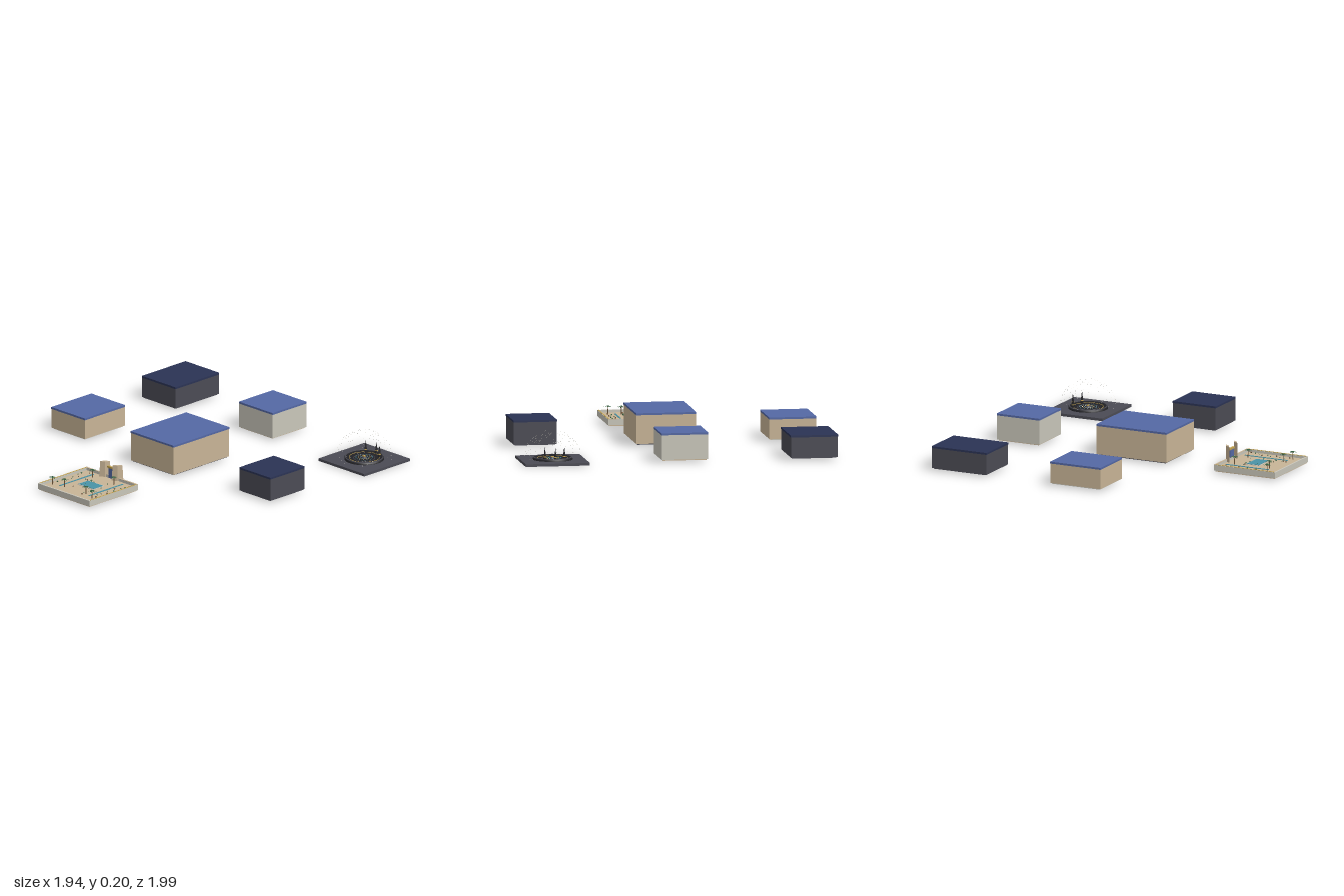
import * as THREE from 'three';

const mat = (name, color, side = THREE.FrontSide) => {
  const m = new THREE.MeshStandardMaterial({ color, side });
  m.name = name;
  return m;
};
const M = {
  blue: mat('blue roof', 0x5468a4), navy: mat('navy roof', 0x2b3354),
  tan: mat('sandstone', 0xc8b496), stone: mat('pale stone', 0xc9c6ba),
  charcoal: mat('charcoal', 0x4b4b54), black: mat('near black', 0x222226),
  gold: mat('gold', 0xc2a250), teal: mat('water teal', 0x4a93a6),
  green: mat('palm green', 0x3a6a48, THREE.DoubleSide), brown: mat('bark brown', 0x6b5238),
};

function add(parent, name, geo, material, x = 0, y = 0, z = 0) {
  const m = new THREE.Mesh(geo, material);
  m.name = name;
  m.position.set(x, y, z);
  parent.add(m);
  return m;
}
// Box given by its extents
function box(parent, name, material, x0, x1, y0, y1, z0, z1) {
  return add(parent, name, new THREE.BoxGeometry(x1 - x0, y1 - y0, z1 - z0), material,
    (x0 + x1) / 2, (y0 + y1) / 2, (z0 + z1) / 2);
}
function group(parent, name, x = 0, y = 0, z = 0) {
  const g = new THREE.Group();
  g.name = name;
  g.position.set(x, y, z);
  parent.add(g);
  return g;
}
function seeded(s) {
  return () => (s = (s * 16807) % 2147483647) / 2147483647;
}

// Plain hall: floor slab, walls and a thin roof
function hall(parent, name, x0, x1, z0, z1, top, wall, roof, floor) {
  const g = group(parent, name);
  box(g, 'floor', floor, x0 + 0.008, x1 - 0.008, 0.01, 0.02, z0 + 0.008, z1 - 0.008);
  box(g, 'walls', wall, x0, x1, 0.016, top - 0.012, z0, z1);
  box(g, 'roof', roof, x0 - 0.001, x1 + 0.001, top - 0.012, top, z0 - 0.001, z1 + 0.001);
}

function palm(parent, x, y, z) {
  const g = group(parent, 'palm', x, y, z);
  add(g, 'trunk', new THREE.CylinderGeometry(0.002, 0.0035, 0.05, 6), M.brown, 0, 0.025, 0);
  const frond = new THREE.ConeGeometry(0.005, 0.03, 4);
  frond.scale(1, 1, 0.25).rotateX(Math.PI / 2 + 0.3).translate(0, -0.003, 0.014);
  for (let i = 0; i < 9; i++) {
    add(g, 'frond', frond, M.green, 0, 0.051, 0).rotation.y = i * Math.PI * 2 / 9;
  }
}

function garden(parent) {
  const g = group(parent, 'gardenCourt');
  const x0 = -0.25, x1 = 0.195, z0 = 0.575, z1 = 0.993, f = 0.036, w = 0.011, t = 0.052;
  box(g, 'base', M.tan, x0 + 0.006, x1 - 0.006, 0.01, 0.018, z0 + 0.006, z1 - 0.006);
  box(g, 'ground', M.tan, x0 + 0.004, x1 - 0.004, 0.016, f, z0 + 0.004, z1 - 0.004);
  // Perimeter walls with coping on the sides and back
  box(g, 'frontWall', M.stone, x0, x1, 0.016, t, z1 - w, z1);
  box(g, 'backWall', M.stone, x0, x1, 0.016, t, z0, z0 + w);
  box(g, 'backCoping', M.tan, x0, x1, t, t + 0.002, z0, z0 + w);
  for (const x of [x0, x1 - w]) {
    box(g, 'sideWall', M.stone, x, x + w, 0.016, t, z0, z1);
    box(g, 'sideCoping', M.gold, x + 0.002, x + w - 0.002, t, t + 0.002, z0 + w, z1 - w);
  }
  // Pool and side channels
  box(g, 'poolRim', M.stone, -0.098, 0.043, f, f + 0.003, 0.712, 0.808);
  box(g, 'pool', M.teal, -0.092, 0.037, f, f + 0.005, 0.72, 0.80);
  for (const x of [-0.155, 0.098]) {
    box(g, 'channel', M.teal, x - 0.005, x + 0.005, f, f + 0.003, 0.61, 0.90);
  }
  // Slender tapering gate towers, lozenge in plan
  const tower = new THREE.CylinderGeometry(1, 1.2, 0.1, 4).toNonIndexed();
  tower.scale(0.03, 1, 0.0095).rotateY(Math.PI / 4);
  tower.computeVertexNormals();
  for (const x of [-0.082, 0.026]) {
    add(g, 'gateTower', tower, M.tan, x, 0.085, 0.583);
  }
  box(g, 'gateLintel', M.gold, -0.06, 0.004, 0.1, 0.111, 0.574, 0.588);
  box(g, 'gateDoor', M.blue, -0.05, -0.006, f, 0.1, 0.576, 0.586);
  // Palms
  for (const [x, z] of [[0.093, 0.65], [0.093, 0.89], [0.172, 0.915]]) {
    for (const s of [-1, 1]) palm(g, -0.031 + s * x, f, z);
  }
  // Shrubs and urns along the paths
  const rnd = seeded(41);
  const shrub = new THREE.IcosahedronGeometry(0.005, 0);
  for (let i = 0; i < 16; i++) {
    for (const s of [-1, 1]) {
      const x = -0.031 + s * (i < 10 ? 0.15 + rnd() * 0.045 : rnd() * 0.1);
      const z = i < 10 ? 0.62 + i * 0.03 : 0.63 + rnd() * 0.3;
      add(g, 'shrub', shrub, i % 3 ? M.green : M.brown, x, f + 0.005, z)
        .scale.setScalar(0.6 + rnd() * 0.6);
    }
  }
}

function plaza(parent) {
  const g = group(parent, 'starPlaza', 0.767, 0, -0.803);
  box(g, 'slab', M.charcoal, -0.198, 0.198, 0, 0.016, -0.197, 0.197);
  // Stepped round basin
  const profile = [[0.122, 0.015], [0.12, 0.028], [0.108, 0.031], [0.104, 0.024],
    [0.08, 0.024], [0.078, 0.02], [0, 0.02]];
  add(g, 'basin', new THREE.LatheGeometry(profile.map(p => new THREE.Vector2(...p)), 48), M.black);
  const ring = (name, r, tube, m, y) =>
    add(g, name, new THREE.TorusGeometry(r, tube, 6, 48).rotateX(Math.PI / 2), m, 0, y, 0);
  ring('rim', 0.115, 0.004, M.charcoal, 0.029);
  ring('goldRing', 0.093, 0.0015, M.gold, 0.025);
  ring('innerRing', 0.065, 0.002, M.charcoal, 0.02);
  // Beads in circles around the centre
  const bead = new THREE.OctahedronGeometry(0.0035);
  for (const [n, r, m] of [[18, 0.052, M.teal], [14, 0.036, M.gold], [10, 0.024, M.teal]]) {
    for (let i = 0; i < n; i++) {
      const a = i * Math.PI * 2 / n;
      add(g, 'bead', bead, m, r * Math.cos(a), 0.024, r * Math.sin(a));
    }
  }
  add(g, 'centreDais', new THREE.CylinderGeometry(0.014, 0.018, 0.01, 12), M.charcoal, 0, 0.025, 0);
  box(g, 'centreLight', M.gold, -0.008, 0.008, 0.03, 0.034, -0.006, 0.006);
  // Spires at the back of the basin
  for (const [x, z, h] of [[0, -0.104, 0.075], [-0.06, -0.072, 0.08], [0.06, -0.072, 0.08]]) {
    add(g, 'spire', new THREE.ConeGeometry(0.011, h, 5), M.black, x, 0.022 + h / 2, z);
    add(g, 'spireBand', new THREE.CylinderGeometry(0.0085, 0.0095, 0.005, 5), M.gold, x, 0.042, z);
  }
  // Dome of floating specks
  const rnd = seeded(7);
  const speck = new THREE.OctahedronGeometry(0.0018);
  for (let i = 0; i < 170; i++) {
    const e = Math.asin(0.05 + 0.92 * rnd()), a = rnd() * Math.PI * 2, r = 0.175;
    add(g, 'speck', speck, M.stone,
      r * Math.cos(e) * Math.cos(a), 0.02 + r * Math.sin(e), r * Math.cos(e) * Math.sin(a));
  }
}

export function createModel() {
  const root = new THREE.Group();
  root.name = 'courtComplex';
  hall(root, 'centralHall', -0.215, 0.157, -0.247, 0.23, 0.205, M.tan, M.blue, M.charcoal);
  hall(root, 'rightHall', -0.97, -0.68, -0.18, 0.163, 0.15, M.tan, M.blue, M.stone);
  hall(root, 'backHall', -0.173, 0.117, -0.95, -0.66, 0.18, M.stone, M.blue, M.tan);
  hall(root, 'backRightHall', -0.97, -0.68, -0.99, -0.617, 0.153, M.charcoal, M.navy, M.charcoal);
  hall(root, 'leftHall', 0.634, 0.9, -0.156, 0.137, 0.165, M.charcoal, M.navy, M.charcoal);
  garden(root);
  plaza(root);
  return root;
}
